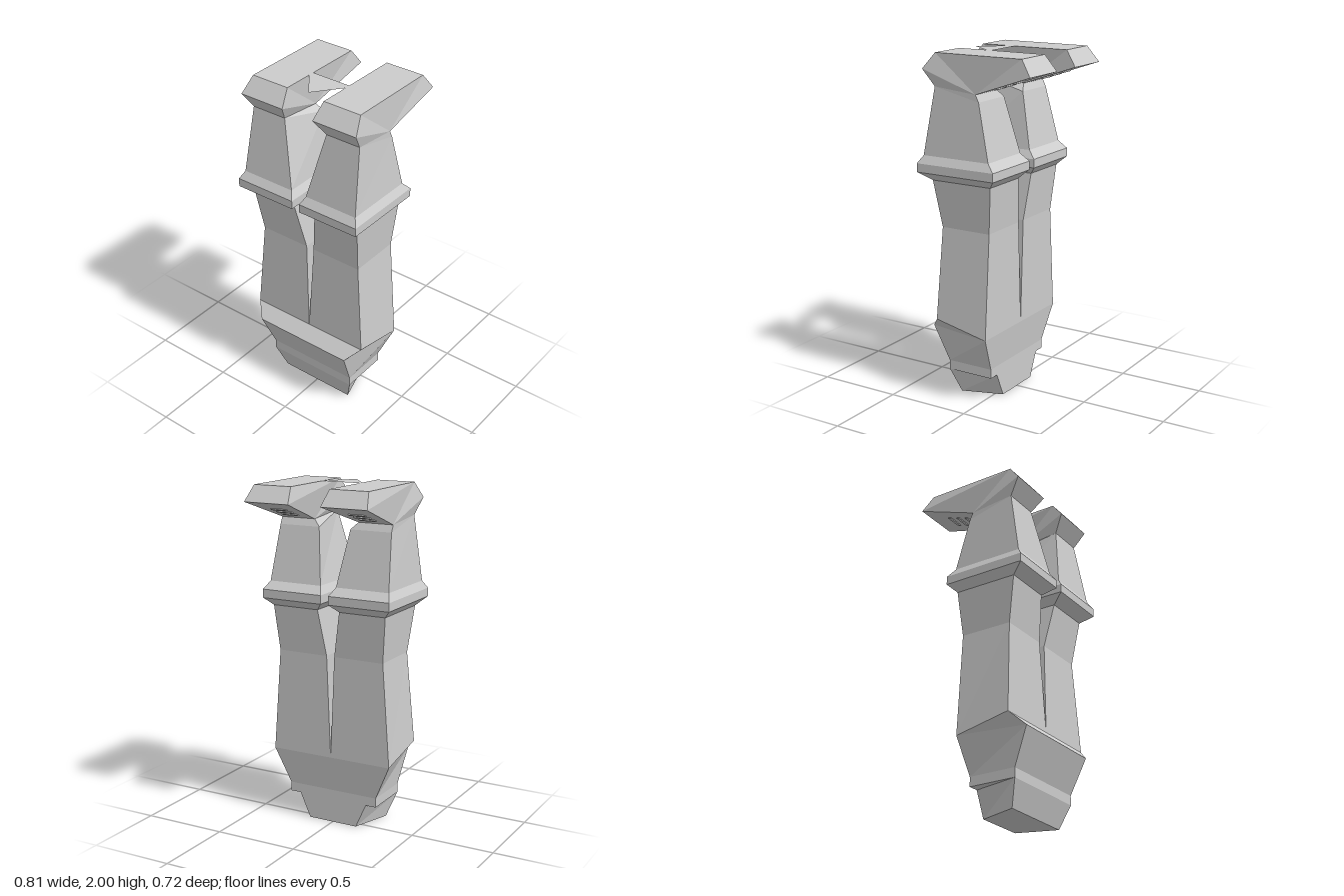
import * as THREE from 'three';

const material = new THREE.MeshStandardMaterial({ color: 0xcccccc, flatShading: true });
const thin = new THREE.MeshStandardMaterial({ color: 0xcccccc, flatShading: true, side: THREE.DoubleSide });

// A ring is a list of stations [innerX, outerX, y, z] running front to back.
// It becomes a loop, counterclockwise from above; side -1 mirrors it in x.
function loop(stations, side) {
  const outer = stations.map(([, x, y, z]) => [x * side, y, z]);
  const inner = stations.map(([x, , y, z]) => [x * side, y, z]).reverse();
  const points = [...outer, ...inner];
  return side < 0 ? points.reverse() : points;
}

// Skin rings from top to bottom and close both ends
function loft(name, rings, side = 1) {
  const loops = rings.map((r) => loop(r, side));
  const n = loops[0].length;
  const index = [];
  for (let i = 0; i < loops.length - 1; i++) {
    for (let j = 0; j < n; j++) {
      const a = i * n + j, b = i * n + (j + 1) % n;
      index.push(a, a + n, b, a + n, b + n, b);
    }
  }
  const last = (loops.length - 1) * n;
  for (let j = 1; j < n - 1; j++) {
    index.push(0, j, j + 1, last, last + j + 1, last + j);
  }
  const geometry = new THREE.BufferGeometry();
  geometry.setAttribute('position', new THREE.Float32BufferAttribute(loops.flat(2), 3));
  geometry.setIndex(index);
  const flat = geometry.toNonIndexed();
  flat.computeVertexNormals();
  const mesh = new THREE.Mesh(flat, material);
  mesh.name = name;
  return mesh;
}

// Level four-cornered ring
const level = (y, x0, x1, front, back) => [[x0, x1, y, front], [x0, x1, y, back]];

// Overhanging head, its sides pinched to a low point in the middle
const headRings = [
  [[0.12, 0.355, 2, 0.26], [0.12, 0.355, 2, 0.26], [0.12, 0.355, 2, -0.29]],
  [[0.1, 0.38, 1.91, 0.33], [0.14, 0.355, 1.79, 0], [0.1, 0.38, 1.91, -0.355]],
  [[0.14, 0.355, 1.815, 0.265], [0.14, 0.355, 1.79, 0], [0.14, 0.355, 1.79, 0]],
  [[0.14, 0.355, 1.815, 0.265], [0.1, 0.355, 1.75, -0.02], [0.1, 0.355, 1.75, -0.02]],
];

const upperRings = [
  [[0.14, 0.355, 1.815, 0.265], [0.1, 0.355, 1.75, -0.02]],
  level(1.43, 0.05, 0.38, 0.33, -0.095),
];

const collarRings = [
  level(1.43, 0.05, 0.38, 0.33, -0.095),
  level(1.385, 0.025, 0.405, 0.36, -0.14),
  level(1.335, 0.025, 0.405, 0.36, -0.14),
  level(1.29, 0.07, 0.36, 0.285, -0.095),
];

const lowerRings = [
  level(1.29, 0.07, 0.36, 0.285, -0.095),
  level(1.02, 0.025, 0.335, 0.24, -0.07),
  [[0, 0.38, 0.48, 0.26], [0, 0.38, 0.41, -0.07]],
];

// Shared base, drawn in at the bottom
const baseRings = [
  [[-0.38, 0.38, 0.48, 0.26], [-0.38, 0.38, 0.41, -0.07]],
  [[-0.31, 0.31, 0.41, 0.33], [-0.38, 0.38, 0.41, -0.07]],
  level(0.2, -0.285, 0.285, 0.24, -0.045),
  level(0.145, -0.285, 0.285, 0.24, -0.045),
];

// Foot block, narrower towards the back
const footRings = [
  [[-0.285, 0.285, 0.145, 0.24], [-0.22, 0.22, 0.145, -0.045]],
  [[-0.235, 0.235, 0, 0.19], [-0.155, 0.155, 0, -0.045]],
];

// Three small bars under the overhang of a head
function gripBars(side) {
  const bars = new THREE.Group();
  bars.name = 'gripBars';
  const slope = Math.atan2(0.12, 0.355);
  for (const z of [-0.21, -0.15, -0.09]) {
    const bar = new THREE.Mesh(new THREE.BoxGeometry(0.1, 0.012, 0.02), material);
    bar.name = 'gripBar';
    bar.position.set(0.245 * side, 1.79 - z * 0.338, z);
    bar.rotation.x = slope;
    bars.add(bar);
  }
  return bars;
}

export function createModel() {
  const model = new THREE.Group();
  model.name = 'twinProngs';

  for (const side of [1, -1]) {
    const prong = new THREE.Group();
    prong.name = side > 0 ? 'leftProng' : 'rightProng';
    prong.add(
      loft('head', headRings, side),
      loft('upperProng', upperRings, side),
      loft('collar', collarRings, side),
      loft('lowerProng', lowerRings, side),
      gripBars(side),
    );
    model.add(prong);
  }

  model.add(loft('base', baseRings), loft('foot', footRings));

  // Thin pointed web between the heads, level with their tops
  const outline = [[-0.12, -0.045], [-0.12, -0.08], [0, -0.235], [0.12, -0.08], [0.12, -0.045]];
  const shape = new THREE.Shape(outline.map(([x, y]) => new THREE.Vector2(x, y)));
  const web = new THREE.Mesh(new THREE.ShapeGeometry(shape), thin);
  web.name = 'web';
  web.rotation.x = -Math.PI / 2;
  web.position.y = 2;
  model.add(web);

  return model;
}
